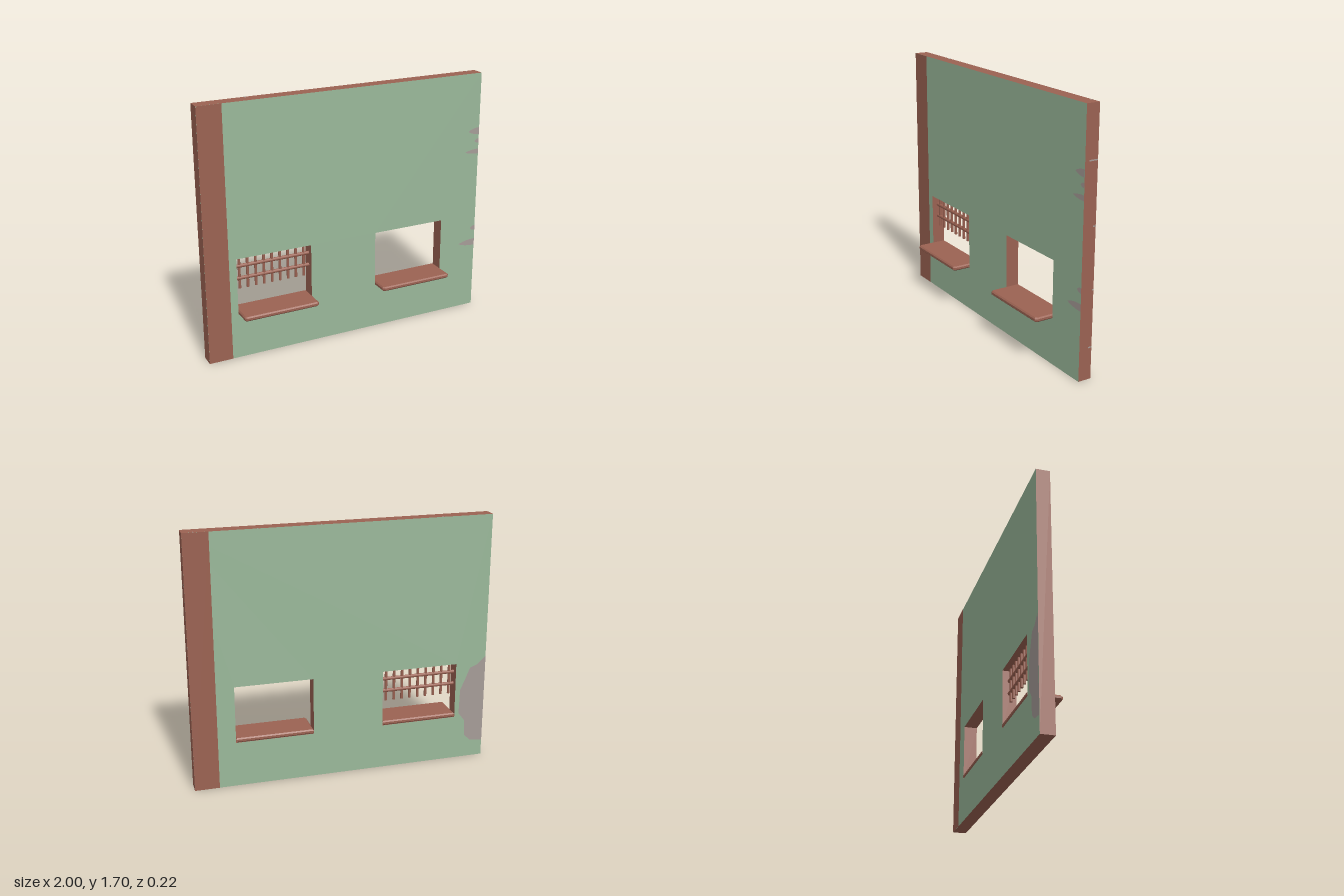
import * as THREE from 'three';

const FRONT = -0.015, BACK = -0.105, HEIGHT = 1.7;

function material(name, color, side = THREE.FrontSide) {
  const m = new THREE.MeshStandardMaterial({ color, side });
  m.name = name;
  return m;
}

function polygon(points) {
  return new THREE.Shape(points.map(([x, y]) => new THREE.Vector2(x, y)));
}

function rect(x0, x1, y0, y1) {
  return polygon([[x0, y0], [x1, y0], [x1, y1], [x0, y1]]);
}

export function createModel() {
  const model = new THREE.Group();
  model.name = 'wallWithWindows';
  const green = material('greenPlaster', 0x9ab89a);
  const brown = material('brownBrick', 0x9b6252);
  const stain = material('greyStain', 0xa69c98);

  function add(name, geometry, mat, x = 0, y = 0, z = 0) {
    const mesh = new THREE.Mesh(geometry, mat);
    mesh.name = name;
    mesh.position.set(x, y, z);
    model.add(mesh);
    return mesh;
  }

  // Wall slab: green faces, brown edges and window reveals
  const windows = [[-0.79, -0.272], [0.202, 0.72]];
  const sillBottom = 0.305, windowTop = 0.69;
  const wall = rect(-1, 1, 0, HEIGHT);
  for (const [x0, x1] of windows) wall.holes.push(rect(x0, x1, sillBottom, windowTop));
  add('wall', new THREE.ExtrudeGeometry(wall, { depth: FRONT - BACK, bevelEnabled: false }),
    [green, brown], 0, 0, BACK);

  // Painted faces just proud of the front or the back
  function paint(name, shape, mat, onBack) {
    const mesh = add(name, new THREE.ShapeGeometry(shape), mat, 0, 0,
      onBack ? BACK - 0.0015 : FRONT + 0.0015);
    if (onBack) mesh.rotation.y = Math.PI;
  }
  paint('frontBareStrip', rect(-1, -0.84, 0, HEIGHT), brown, false);
  paint('backBareStrip', rect(-1, -0.838, 0, HEIGHT), brown, true);

  // Pointed stains along the right edge of the front: height, reach, half thickness
  for (const [y, reach, half] of [[1.3, 0.085, 0.024], [1.23, 0.035, 0.016],
    [1.155, 0.105, 0.017], [0.59, 0.04, 0.018], [0.483, 0.13, 0.024]]) {
    const s = new THREE.Shape();
    s.moveTo(1, y - half);
    s.quadraticCurveTo(1 - reach * 0.6, y - half, 1 - reach, y);
    s.quadraticCurveTo(1 - reach * 0.6, y + half, 1, y + half);
    paint('frontStain', s, stain, false);
  }

  // Large stain on the back
  paint('backStain', polygon([[1, 0.11], [1, 0.73], [0.94, 0.675], [0.89, 0.655],
    [0.86, 0.58], [0.825, 0.5], [0.82, 0.33], [0.865, 0.27], [0.87, 0.16], [0.91, 0.12]]),
  stain, true);

  // Small chips on the end and the top
  for (const [y, w] of [[1.37, 0.06], [0.975, 0.02], [0.58, 0.012], [0.21, 0.025]]) {
    add('endChip', new THREE.BoxGeometry(0.002, 0.008, w), stain, 1, y, BACK + w / 2);
  }
  for (const [x, w] of [[-0.66, 0.02], [0.14, 0.015], [0.54, 0.008], [0.93, 0.015]]) {
    add('topChip', new THREE.BoxGeometry(0.008, 0.002, w), stain, x, HEIGHT, BACK + w / 2);
  }

  // Window sills with chamfered front corners and edges
  const bevel = 0.008;
  for (const [x0, x1] of windows) {
    const a = x0 + bevel, b = x1 - bevel, front = 0.108 - bevel, back = -0.108 + bevel;
    const plan = polygon([[a, -back], [a, -front + 0.008], [a + 0.008, -front],
      [b - 0.008, -front], [b, -front + 0.008], [b, -back]]);
    const geometry = new THREE.ExtrudeGeometry(plan, {
      depth: 0.03 - 2 * bevel, bevelThickness: bevel, bevelSize: bevel, bevelSegments: 1,
    });
    geometry.rotateX(-Math.PI / 2);
    add('windowSill', geometry, brown, 0, sillBottom + bevel, 0);
  }

  // Broken grille in one window: hanging bars and two cross rails
  const barZ = (FRONT + BACK) / 2, barBottom = 0.468;
  const bar = new THREE.CylinderGeometry(0.0095, 0.0095, windowTop - barBottom, 8);
  for (let i = 0; i < 9; i++) {
    add('grilleBar', bar, brown, -0.757 + i * 0.0561, (windowTop + barBottom) / 2, barZ);
  }
  const [g0, g1] = windows[0];
  const rail = new THREE.CylinderGeometry(0.0125, 0.0125, g1 - g0, 8).rotateZ(Math.PI / 2);
  for (const y of [0.538, 0.622]) add('grilleRail', rail, brown, (g0 + g1) / 2, y, barZ);

  return model;
}
